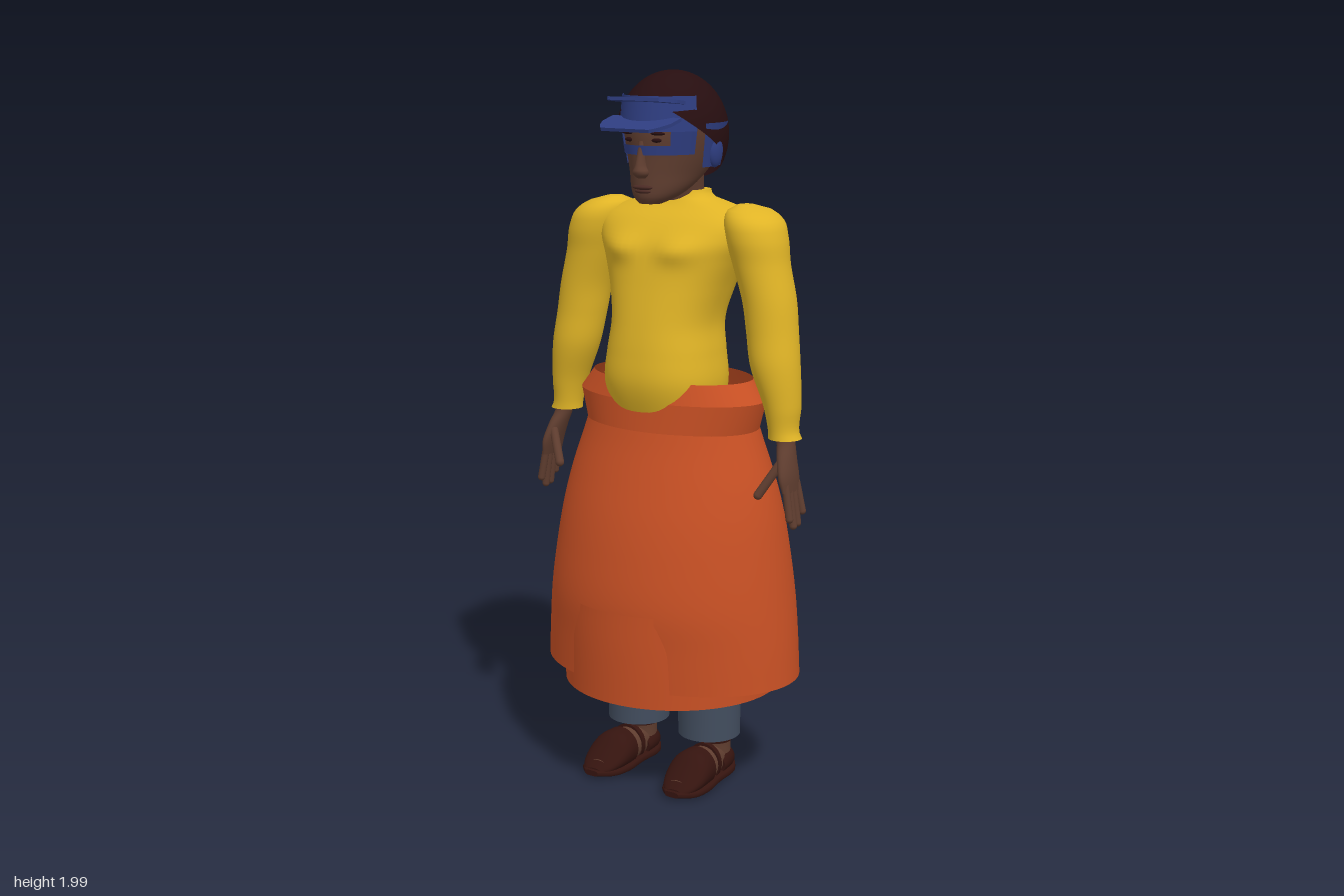
import * as THREE from 'three';

const material = (name, color) => {
  const m = new THREE.MeshStandardMaterial({ color, side: THREE.DoubleSide });
  m.name = name;
  return m;
};
const yellow = material('yellow shirt', 0xe0b426);
const orange = material('orange cloth', 0xc85024);
const blue = material('blue visor', 0x2e3d80);
const skin = material('brown skin', 0x5f3d2f);
const lipBrown = material('dark lip', 0x4a2a24);
const hairDark = material('dark hair', 0x270e10);
const slate = material('slate trousers', 0x424d5e);
const leather = material('dark leather', 0x35140f);

// Surface from a rule fn(u, v) -> [x, y, z]; wraps around u when closed
function grid(nu, nv, fn, closed) {
  const cols = closed ? nu : nu + 1, pos = [], index = [];
  for (let j = 0; j <= nv; j++)
    for (let i = 0; i < cols; i++) pos.push(...fn(i / nu, j / nv, j));
  for (let j = 0; j < nv; j++)
    for (let i = 0; i < nu; i++) {
      const k = (i + 1) % cols, a = j * cols + i, b = j * cols + k;
      index.push(a, b, b + cols, a, b + cols, a + cols);
    }
  const g = new THREE.BufferGeometry();
  g.setAttribute('position', new THREE.Float32BufferAttribute(pos, 3));
  g.setIndex(index);
  g.computeVertexNormals();
  return g;
}

// Smooth body through cross-sections [t, cx, c2, rx, r2] along y or z
function loft(secs, { n = 2, caps = true, axis = 'y', rows = 32, seg = 48, linear = false, tweak } = {}) {
  const Interp = linear ? THREE.LinearInterpolant : THREE.CubicInterpolant;
  const curve = new Interp(secs.map(s => s[0]), secs.flatMap(s => s.slice(1)), 4);
  const t0 = secs[0][0], t1 = secs[secs.length - 1][0], pad = caps ? 2 : 0;
  const flip = axis === 'z' ? -1 : 1;
  const power = c => Math.sign(c) * Math.abs(c) ** (2 / n);
  return grid(seg, rows + 2 * pad, (u, v, j) => {
    const r = Math.min(Math.max(j - pad, 0), rows);
    const t = t0 + (t1 - t0) * r / rows;
    const [cx, c2, rx, r2] = curve.evaluate(t);
    const size = caps && (j === 0 || j === rows + 4) ? 0 : 1;
    const a = u * Math.PI * 2 * flip;
    const x = cx + rx * power(Math.sin(a)) * size;
    let w = c2 + r2 * power(Math.cos(a)) * size;
    if (tweak) w += tweak(x, t, w);
    return axis === 'z' ? [x, w, t] : [x, t, w];
  }, true);
}

// Curved patch wrapped around the head between two angles in degrees
function wrap(a0, a1, y0, y1, r0, r1) {
  return grid(24, 6, (u, v) => {
    const a = THREE.MathUtils.degToRad(a0 + (a1 - a0) * u);
    return [Math.sin(a) * THREE.MathUtils.lerp(r0[0], r1[0], v), THREE.MathUtils.lerp(y0, y1, v),
      Math.cos(a) * THREE.MathUtils.lerp(r0[1], r1[1], v)];
  }, false);
}

function capsule(p, q, r) {
  const a = new THREE.Vector3(...p), b = new THREE.Vector3(...q), d = b.clone().sub(a);
  const g = new THREE.CapsuleGeometry(r, d.length(), 6, 12);
  g.applyQuaternion(new THREE.Quaternion().setFromUnitVectors(new THREE.Vector3(0, 1, 0), d.normalize()));
  const c = a.add(b).multiplyScalar(0.5);
  return g.translate(c.x, c.y, c.z);
}

const blob = (x, y, z, rx, ry, rz) =>
  new THREE.SphereGeometry(1, 20, 14).scale(rx, ry, rz).translate(x, y, z);

// Visor peak: rounded trapezoid shelf
function peak(inner, outer, depth) {
  const s = new THREE.Shape();
  s.moveTo(-inner, 0);
  s.lineTo(-inner, depth * 0.45);
  s.quadraticCurveTo(-outer, depth * 0.85, -outer * 0.8, depth);
  s.lineTo(outer * 0.8, depth);
  s.quadraticCurveTo(outer, depth * 0.85, inner, depth * 0.45);
  s.lineTo(inner, 0);
  return new THREE.ExtrudeGeometry(s, { depth: 0.009, bevelEnabled: false }).rotateX(Math.PI / 2);
}

export function createModel() {
  const model = new THREE.Group();
  const add = (name, geometry, mat) => {
    const m = new THREE.Mesh(geometry, mat);
    m.name = name;
    model.add(m);
    return m;
  };

  // Torso: [y, half width, front z, back z]
  const torso = [[1.0, .14, .13, -.1], [1.09, .155, .17, -.12], [1.17, .166, .19, -.13], [1.25, .158, .184, -.127],
    [1.33, .15, .17, -.128], [1.42, .172, .15, -.148], [1.5, .205, .13, -.162], [1.56, .235, .105, -.16],
    [1.61, .235, .065, -.145], [1.64, .17, .03, -.125], [1.66, .095, .015, -.11], [1.68, .082, .005, -.105]]
    .map(([y, w, f, b]) => [y, 0, (f + b) / 2, w, (f - b) / 2]);
  const bulge = (x, y, z) => z < 0
    ? 0.018 * Math.exp(-((x / .025) ** 2)) * (y < 1.6 && y > 1.15 ? 1 : 0)
    : 0.022 * Math.exp(-(((Math.abs(x) - .09) / .06) ** 2) - ((y - 1.53) / .035) ** 2);
  add('shirtTorso', loft(torso, { n: 2.3, rows: 64, seg: 64, tweak: bulge }), yellow);

  // Skirt: outer shell, under panel, folded waistband
  add('skirt', loft([[.34, 0, 0, .386, .28], [.45, 0, 0, .378, .285], [.56, 0, 0, .366, .291], [.7, 0, 0, .348, .272],
    [.8, 0, 0, .332, .25], [.9, 0, 0, .308, .22], [1.0, 0, 0, .275, .188], [1.04, 0, 0, .262, .177]],
    { caps: false, seg: 72 }), orange);
  add('skirtUnderPanel', loft([[.295, 0, 0, .31, .297], [.45, 0, 0, .312, .3], [.555, 0, 0, .315, .298]],
    { caps: false, rows: 8, seg: 72 }), orange);
  add('waistbandLower', loft([[1.035, 0, 0, .262, .177], [1.12, 0, 0, .288, .168]],
    { caps: false, rows: 2, seg: 72 , linear: true }), orange);
  add('waistbandUpper', loft([[1.12, 0, 0, .288, .168], [1.175, 0, 0, .245, .153]],
    { caps: false, rows: 2, seg: 72, linear: true }), orange);

  // Neck and head
  add('neck', loft([[1.57, 0, -.045, .072, .065], [1.66, 0, -.04, .065, .062], [1.74, 0, -.02, .07, .08]]), skin);
  add('face', loft([[1.652, 0, .105, .03, .03], [1.665, 0, .085, .052, .06], [1.69, 0, .055, .074, .092],
    [1.73, 0, .02, .091, .127], [1.78, 0, 0, .108, .148], [1.84, 0, 0, .119, .152], [1.89, 0, 0, .118, .146],
    [1.94, 0, 0, .095, .115], [1.975, 0, 0, .05, .06]]), skin);
  add('nose', loft([[1.722, 0, .147, .012, .012], [1.735, 0, .15, .023, .024], [1.75, 0, .15, .016, .021],
    [1.79, 0, .148, .01, .012], [1.82, 0, .145, .009, .008]], { seg: 20, rows: 14 }), skin);
  add('upperLip', blob(0, 1.697, .143, .032, .007, .012), lipBrown);
  add('lowerLip', blob(0, 1.686, .137, .027, .007, .014), lipBrown);

  // Hair: dome with a hairline that drops from brow to nape
  add('hair', grid(64, 24, (u, v) => {
    const a = u * Math.PI * 2, back = (1 - Math.cos(a)) / 2;
    const low = 1.93 - .225 * back ** 0.85;
    const th = Math.acos((low - 1.83) / .17) * (1 - v);
    return [.144 * Math.sin(th) * Math.sin(a), 1.83 + .17 * Math.cos(th), .169 * Math.sin(th) * Math.cos(a)];
  }, true), hairDark);

  // Visor with two peaks and a lower mask strip
  add('visorBand', wrap(-66, 66, 1.845, 1.937, [.134, .165], [.128, .15]), blue);
  add('maskStrip', wrap(-52, 52, 1.783, 1.808, [.115, .155], [.12, .157]), blue);
  const lower = add('lowerPeak', peak(.11, .095, .105), blue);
  lower.position.set(0, 1.882, .123);
  lower.rotation.x = .25;
  const upper = add('upperPeak', peak(.108, .1, .085), blue);
  upper.position.set(0, 1.925, .1);
  upper.rotation.x = -.12;

  for (const s of [1, -1]) {
    const side = s > 0 ? 'left' : 'right';
    const part = (name, geometry, mat) => add(side + name, geometry, mat);
    const sweep = (secs, options) => loft(secs.map(([t, x, ...r]) => [t, x * s, ...r]), options);
    const patch = (a, b, ...r) => s > 0 ? wrap(a, b, ...r) : wrap(-b, -a, ...r);

    // Eye details and visor side pieces
    part('Eye', blob(s * .042, 1.822, .139, .016, .006, .009), hairDark);
    part('Eyebrow', blob(s * .045, 1.84, .139, .024, .005, .011), hairDark);
    part('MaskSide', patch(38, 68, 1.783, 1.86, [.117, .152], [.13, .16]), blue);
    part('EarPiece', patch(72, 125, 1.748, 1.865, [.128, .13], [.146, .155]), blue);
    part('Ear', blob(s * .128, 1.79, -.01, .018, .045, .03), blue);

    // Sleeve
    part('Sleeve', sweep([[1.035, .366, .003, .045, .046], [1.05, .362, .003, .041, .045], [1.12, .355, 0, .049, .056],
      [1.23, .331, 0, .067, .07], [1.32, .316, -.008, .07, .073], [1.4, .303, -.013, .072, .077],
      [1.5, .275, -.015, .077, .082], [1.57, .258, -.018, .082, .09], [1.615, .243, -.025, .075, .085],
      [1.64, .225, -.03, .05, .06], [1.65, .215, -.03, .02, .025]], { rows: 48 }), yellow);

    // Hand with fingers and thumb
    part('Hand', sweep([[.9, .403, .03, .012, .042], [.94, .396, .032, .018, .046], [.99, .383, .022, .022, .038],
      [1.03, .372, .008, .024, .028], [1.09, .362, .003, .026, .03]], { rows: 16, seg: 24 }), skin);
    [[.062, .83], [.042, .808], [.02, .812], [-.004, .84]].forEach(([z, y], i) =>
      part('Finger' + (i + 1), capsule([s * .402, .92, .03 + (z - .03) * .85], [s * .418, y, z], .0105), skin));
    part('Thumb', capsule([s * .38, .975, .05], [s * .333, .89, .085], .0125), skin);

    // Trouser leg
    part('TrouserLeg', sweep([[.145, .122, -.005, .088, .088], [.3, .12, -.005, .09, .09], [.6, .11, 0, .1, .1],
      [1.0, .085, 0, .085, .1]], { rows: 16 }), slate);

    // Foot in an open sandal
    part('Ankle', sweep([[.04, .13, -.035, .04, .045], [.1, .128, -.035, .038, .042], [.18, .125, -.03, .045, .05]],
      { rows: 8, seg: 24 }), skin);
    part('AnkleStrap', sweep([[.115, .128, -.034, .043, .047], [.142, .127, -.033, .046, .05]],
      { rows: 2, seg: 24, linear: true }), leather);
    part('Foot', sweep([[-.07, .13, .055, .03, .03], [0, .131, .065, .042, .045], [.06, .133, .067, .052, .048],
      [.12, .135, .058, .052, .036], [.18, .137, .042, .04, .018]], { axis: 'z', rows: 16, seg: 24 }), skin);
    part('SandalToe', sweep([[.065, .134, .068, .058, .056], [.11, .135, .066, .064, .052], [.15, .137, .052, .06, .034],
      [.185, .138, .038, .044, .017], [.2, .138, .032, .028, .01]], { axis: 'z', rows: 16, seg: 28 }), leather);
    part('SandalHeel', sweep([[-.085, .13, .05, .028, .028], [-.06, .13, .058, .042, .038], [.0, .131, .052, .049, .034]],
      { axis: 'z', rows: 10, seg: 24 }), leather);
    part('SandalStrap', sweep([[.02, .132, .068, .05, .054], [.038, .133, .069, .053, .055]],
      { axis: 'z', rows: 2, seg: 24, linear: true }), leather);
    part('Sole', sweep([[-.092, .13, .026, .025, .012], [-.06, .13, .026, .045, .013], [.03, .133, .026, .053, .013],
      [.12, .136, .026, .064, .013], [.18, .138, .028, .052, .011], [.21, .138, .03, .022, .008]],
      { axis: 'z', n: 3.5, rows: 20, seg: 28 }), leather);
  }

  // Rest the soles on the floor
  const base = new THREE.Box3().setFromObject(model).min.y;
  model.children.forEach(m => { m.position.y -= base; });
  return model;
}
